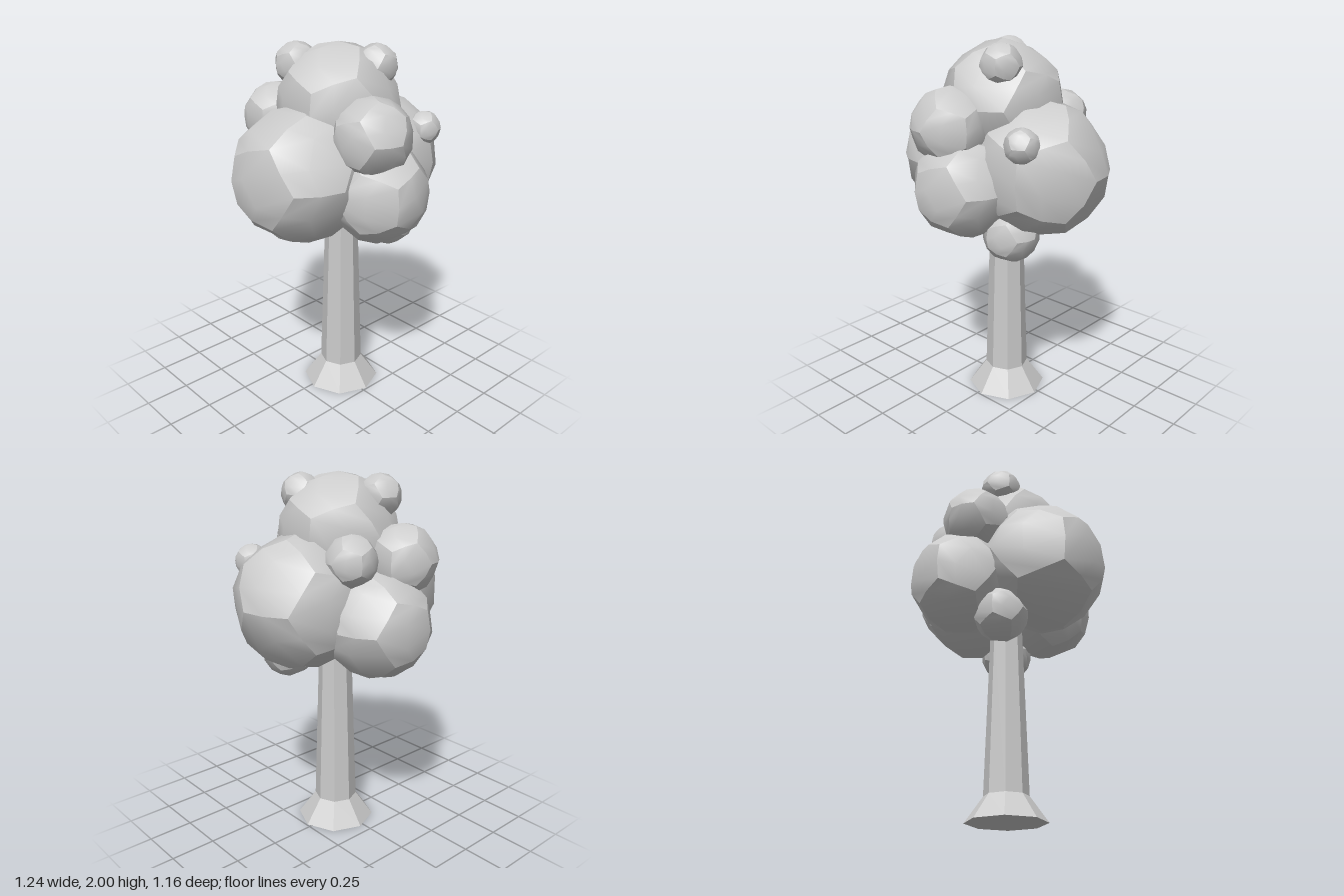
import * as THREE from 'three';
import { mergeGeometries, mergeVertices } from 'three/addons/utils/BufferGeometryUtils.js';

// Rounded dodecahedron: smooth inside each pentagon, creased between pentagons
function createPuffGeometry() {
  const source = new THREE.DodecahedronGeometry(1, 1).getAttribute('position');
  const floatsPerPentagon = source.count / 12 * 3;
  const patches = [];
  for (let i = 0; i < 12; i++) {
    const patch = new THREE.BufferGeometry();
    const corners = source.array.slice(i * floatsPerPentagon, (i + 1) * floatsPerPentagon);
    patch.setAttribute('position', new THREE.BufferAttribute(corners, 3));
    const welded = mergeVertices(patch);
    welded.computeVertexNormals();
    patches.push(welded);
  }
  return mergeGeometries(patches);
}

// name, centre x, y, z, radius
const puffs = [
  ['leftFoliage', 0.26, 1.355, 0.025, 0.36],
  ['rightFoliage', -0.26, 1.355, 0.02, 0.36],
  ['crownFoliage', 0, 1.675, 0.025, 0.325],
  ['frontLowerFoliage', 0, 1.275, 0.32, 0.27],
  ['backLowerFoliage', 0.025, 1.255, -0.305, 0.285],
  ['frontUpperFoliage', -0.07, 1.58, 0.345, 0.205],
  ['backUpperFoliage', -0.12, 1.575, -0.335, 0.185],
  ['backSideTuft', 0.17, 1.59, -0.26, 0.135],
  ['crownFrontTuft', 0.125, 1.885, 0.175, 0.11],
  ['crownBackTuft', -0.125, 1.88, -0.155, 0.115],
  ['leftSideTuft', 0.37, 1.54, 0.3, 0.09],
  ['undersideFrontTuft', 0.215, 1.035, 0.2, 0.15],
  ['undersideBackTuft', -0.165, 1.035, -0.19, 0.148],
];

export function createModel() {
  const tree = new THREE.Group();
  tree.name = 'tree';

  // Eight-sided tapering trunk with a flared foot
  const profile = [[0, 0], [0.218, 0], [0.12, 0.135], [0.09, 1.05], [0.08, 1.4], [0, 1.4]]
    .map(([r, y]) => new THREE.Vector2(r, y));
  const trunk = new THREE.Mesh(
    new THREE.LatheGeometry(profile, 8),
    new THREE.MeshStandardMaterial({ color: 0xcccccc, flatShading: true })
  );
  trunk.name = 'trunk';
  trunk.position.set(0.025, 0, 0.025);
  tree.add(trunk);

  // Foliage puffs, each turned a little differently
  const puffGeometry = createPuffGeometry();
  const leafMaterial = new THREE.MeshStandardMaterial({ color: 0xcccccc });
  const foliage = new THREE.Group();
  foliage.name = 'foliage';
  puffs.forEach(([name, x, y, z, radius], i) => {
    const puff = new THREE.Mesh(puffGeometry, leafMaterial);
    puff.name = name;
    puff.position.set(x, y, z);
    puff.scale.setScalar(radius);
    puff.rotation.set(0, 0.35 + i * 0.8, 0);
    foliage.add(puff);
  });
  tree.add(foliage);
  return tree;
}
